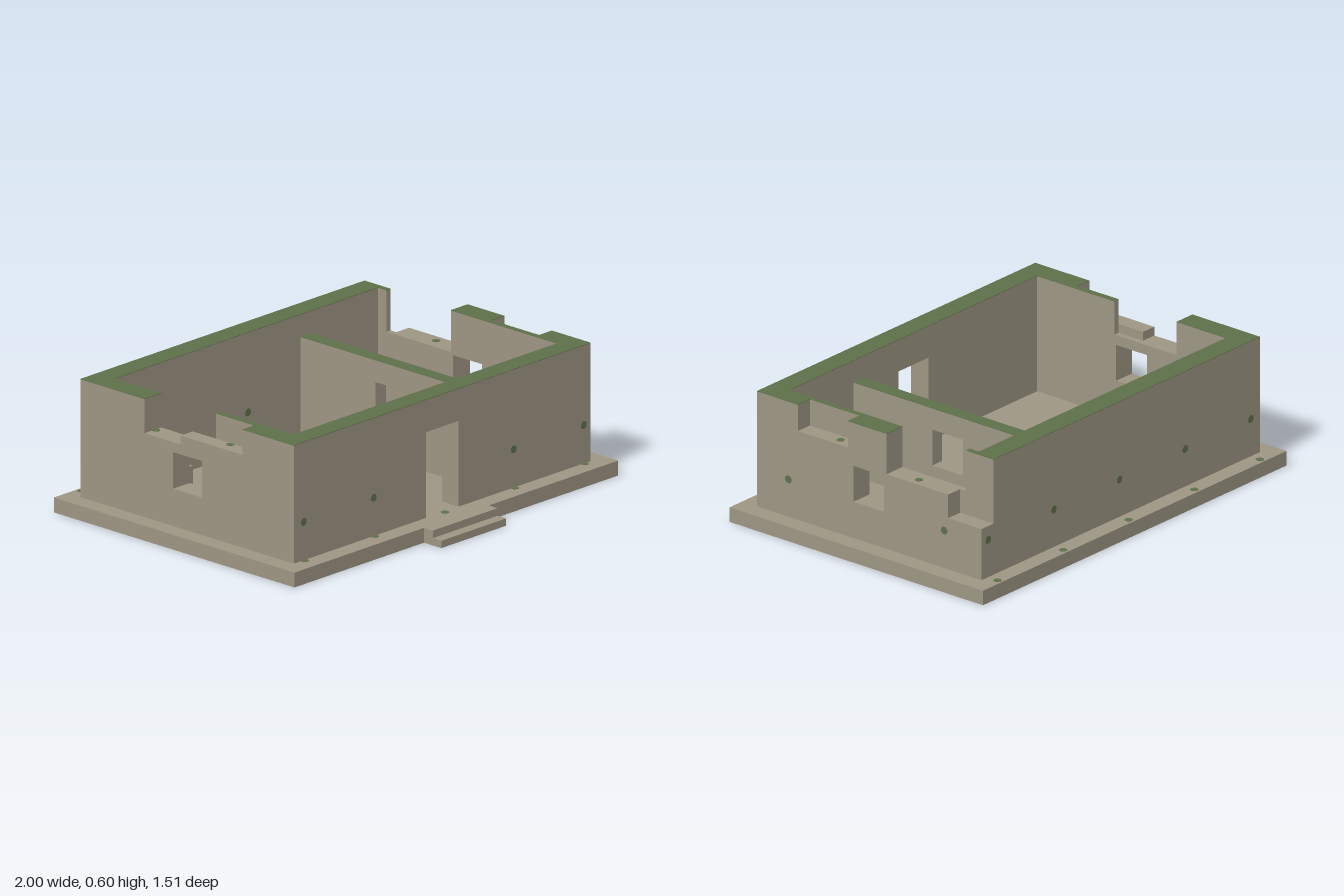
import * as THREE from 'three';

// Double-sided because the foundation and steps are open underneath
const stone = new THREE.MeshStandardMaterial({ color: 0x9e9684, side: THREE.DoubleSide });
stone.name = 'weathered stone';
const moss = new THREE.MeshStandardMaterial({ color: 0x5e704a });
moss.name = 'moss green';

const FLOOR = 0.067, TOP = 0.598, PARTITION_TOP = 0.498;

// Box given by its limits on each axis
function box(parent, name, mat, [x0, x1], [y0, y1], [z0, z1]) {
  const mesh = new THREE.Mesh(new THREE.BoxGeometry(x1 - x0, y1 - y0, z1 - z0), mat);
  mesh.position.set((x0 + x1) / 2, (y0 + y1) / 2, (z0 + z1) / 2);
  mesh.name = name;
  parent.add(mesh);
  return mesh;
}

// Hollow slab standing on the ground, without its bottom face
function openSlab(parent, name, x, height, z) {
  const { geometry } = box(parent, name, stone, x, [0, height], z);
  const index = Array.from(geometry.index.array);
  index.splice(18, 6);
  geometry.setIndex(index);
  geometry.clearGroups();
}

// Wall extruded from an outline of [along, y] points; level stretches at capY get a moss cap
function wall(parent, name, axis, points, [from, to], capY, window) {
  const group = new THREE.Group();
  group.name = name;
  const side = axis === 'x'; // extruded along x, outline runs along z
  const s = side ? -1 : 1;
  const toVectors = (list) => list.map(([a, y]) => new THREE.Vector2(s * a, y));
  const shape = new THREE.Shape(toVectors(points));
  if (window) {
    // Wound against the outline so the reveals face into the opening
    const [a, b, low, high] = window;
    shape.holes.push(new THREE.Path(toVectors([[a, low], [a, high], [b, high], [b, low]])));
  }
  const geo = new THREE.ExtrudeGeometry(shape, { depth: to - from, bevelEnabled: false });
  if (side) geo.rotateY(Math.PI / 2).translate(from, 0, 0);
  else geo.translate(0, 0, from);
  const body = new THREE.Mesh(geo, stone);
  body.name = name + 'Body';
  group.add(body);
  points.forEach(([a, y], i) => {
    const [b, y2] = points[(i + 1) % points.length];
    if (y !== capY || y2 !== capY) return;
    const run = [Math.min(a, b), Math.max(a, b)];
    const across = [from, to];
    box(group, 'mossCap', moss, side ? across : run, [capY, capY + 0.002], side ? run : across);
  });
  parent.add(group);
}

// Small flat moss spot facing along one axis
function spot(parent, axis, x, y, z) {
  const geo = new THREE.CylinderGeometry(0.018, 0.018, 0.003, 10);
  if (axis === 'x') geo.rotateZ(Math.PI / 2);
  if (axis === 'z') geo.rotateX(Math.PI / 2);
  const mesh = new THREE.Mesh(geo, moss);
  mesh.position.set(x, y, z);
  mesh.name = 'mossSpot';
  parent.add(mesh);
}

export function createModel() {
  const model = new THREE.Group();
  model.name = 'ruinedHouse';

  // Foundation and entrance steps
  openSlab(model, 'foundation', [-1, 1], FLOOR, [-0.757, 0.655]);
  openSlab(model, 'upperStep', [-0.2, 0.2], FLOOR, [0.655, 0.707]);
  openSlab(model, 'lowerStep', [-0.2, 0.2], 0.033, [0.707, 0.757]);

  // Front wall with doorway, and plain back wall
  wall(model, 'frontWall', 'z', [
    [-0.815, FLOOR], [-0.1, FLOOR], [-0.1, 0.453], [0.1, 0.453], [0.1, FLOOR],
    [0.812, FLOOR], [0.812, TOP], [-0.815, TOP],
  ], [0.475, 0.573], TOP);
  wall(model, 'backWall', 'z', [
    [-0.815, FLOOR], [0.812, FLOOR], [0.812, TOP], [-0.815, TOP],
  ], [-0.678, -0.576], TOP);

  // Side walls: outer and inner leaves broken away differently, sharing a window
  const window = [-0.135, 0.035, 0.235, 0.4];
  const f = 0.573, b = -0.678;
  const sideWall = (name, crest, span) =>
    wall(model, name, 'x', [[f, FLOOR], ...crest, [b, FLOOR]], span, TOP, window);
  sideWall('leftWallOuterLeaf', [
    [f, TOP], [0.345, TOP], [0.345, 0.477], [0.067, 0.477], [0.067, TOP], [-0.149, TOP],
    [-0.149, 0.412], [-0.492, 0.412], [-0.492, 0.303], [b, 0.303],
  ], [0.837, 0.916]);
  sideWall('leftWallInnerLeaf', [
    [f, TOP], [-0.149, TOP], [-0.149, 0.412], [-0.525, 0.412], [-0.525, TOP], [b, TOP],
  ], [0.812, 0.837]);
  sideWall('rightWallOuterLeaf', [
    [f, TOP], [0.272, TOP], [0.272, 0.485], [-0.09, 0.485], [-0.09, 0.445],
    [-0.302, 0.445], [-0.302, TOP], [b, TOP],
  ], [-0.918, -0.843]);
  sideWall('rightWallInnerLeaf', [
    [f, TOP], [0.045, TOP], [0.045, 0.445], [-0.302, 0.445], [-0.302, TOP], [b, TOP],
  ], [-0.843, -0.815]);

  // Lower partition inside
  wall(model, 'partition', 'x', [
    [0.475, FLOOR], [0.475, PARTITION_TOP], [-0.576, PARTITION_TOP], [-0.576, FLOOR],
  ], [0.332, 0.397], PARTITION_TOP, window);

  // Fallen blocks on the floor
  const rubble = new THREE.Group();
  rubble.name = 'rubble';
  model.add(rubble);
  for (const [x, z, top] of [[[-0.765, -0.643], [-0.412, -0.302], 0.165], [[-0.733, -0.61], [-0.483, -0.405], 0.185]]) {
    box(rubble, 'mossyBlock', stone, x, [FLOOR, top], z);
    box(rubble, 'mossCap', moss, x, [top, top + 0.003], z);
  }
  box(rubble, 'bareBlock', stone, [-0.67, -0.573], [FLOOR, 0.202], [-0.455, -0.345]);

  // Moss spots on walls, ledges, floor and broken edges
  const spots = new THREE.Group();
  spots.name = 'mossSpots';
  model.add(spots);
  for (const x of [-0.857, -0.425, 0.008, 0.44, 0.873]) {
    const inside = Math.abs(x) < 0.8;
    if (Math.abs(x) > 0.1) spot(spots, 'z', x, 0.24, f); // the doorway has none
    spot(spots, 'z', x, 0.24, b);
    if (inside) spot(spots, 'z', x, 0.24, -0.576);
    for (const z of [-0.73, 0.58]) spot(spots, 'y', x, FLOOR, z);
    for (const z of [-0.293, 0.143]) {
      const brokenEdge = x > 0 ? (z > 0 ? 0.477 : 0.412) : (z > 0 ? 0.485 : 0.445);
      spot(spots, 'y', x, inside ? FLOOR : brokenEdge, z);
    }
  }
  for (const z of [0.398, -0.47]) spot(spots, 'x', 0.916, 0.24, z);

  return model;
}
